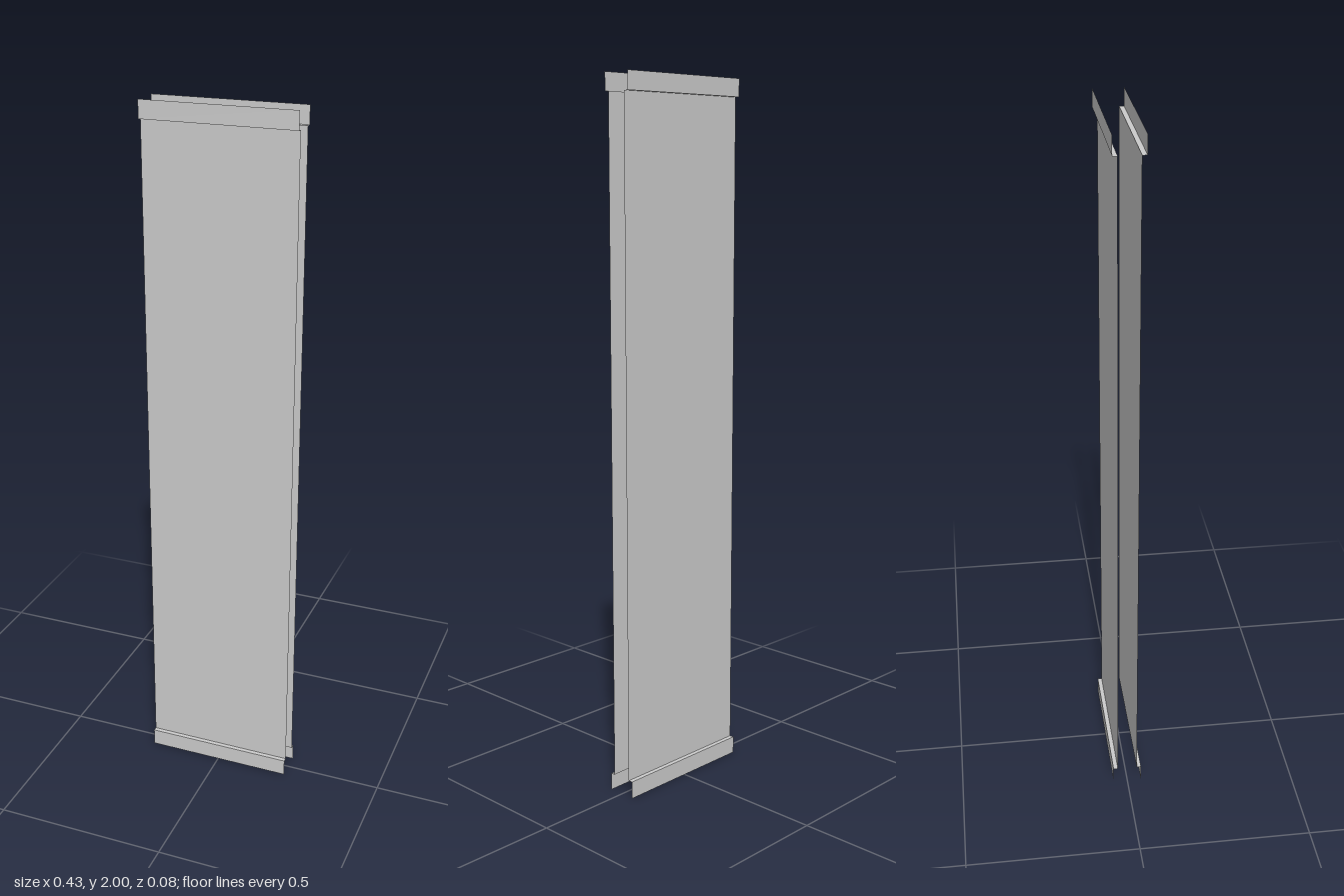
import * as THREE from 'three';

const WIDTH = 0.434, HEIGHT = 2, LIP = 0.05;
const INNER = 0.029, OUTER = 0.042;

const material = new THREE.MeshStandardMaterial({ color: 0xcccccc, side: THREE.DoubleSide });

// Flat sheet spanning the full width, centred at (y, z)
function sheet(name, height, y, z, tilt = 0) {
  const mesh = new THREE.Mesh(new THREE.PlaneGeometry(WIDTH, height), material);
  mesh.name = name;
  mesh.position.set(0, y, z);
  mesh.rotation.x = tilt;
  return mesh;
}

// Thin panel whose top and bottom edges step outwards into a lip
function steppedPanel(name) {
  const panel = new THREE.Group();
  panel.name = name;
  panel.add(sheet('panelFace', HEIGHT - 2 * LIP, HEIGHT / 2, INNER));
  for (const [end, dir] of [['top', 1], ['bottom', -1]]) {
    const stepY = HEIGHT / 2 + dir * (HEIGHT / 2 - LIP);
    const lipY = HEIGHT / 2 + dir * (HEIGHT / 2 - LIP / 2);
    panel.add(sheet(end + 'Step', OUTER - INNER, stepY, (INNER + OUTER) / 2, dir * Math.PI / 2));
    panel.add(sheet(end + 'Lip', LIP, lipY, OUTER));
  }
  return panel;
}

export function createModel() {
  const model = new THREE.Group();
  model.name = 'doublePanel';
  const front = steppedPanel('frontPanel');
  // The back panel is the front one turned around
  const back = steppedPanel('backPanel');
  back.rotation.y = Math.PI;
  model.add(front, back);
  return model;
}
